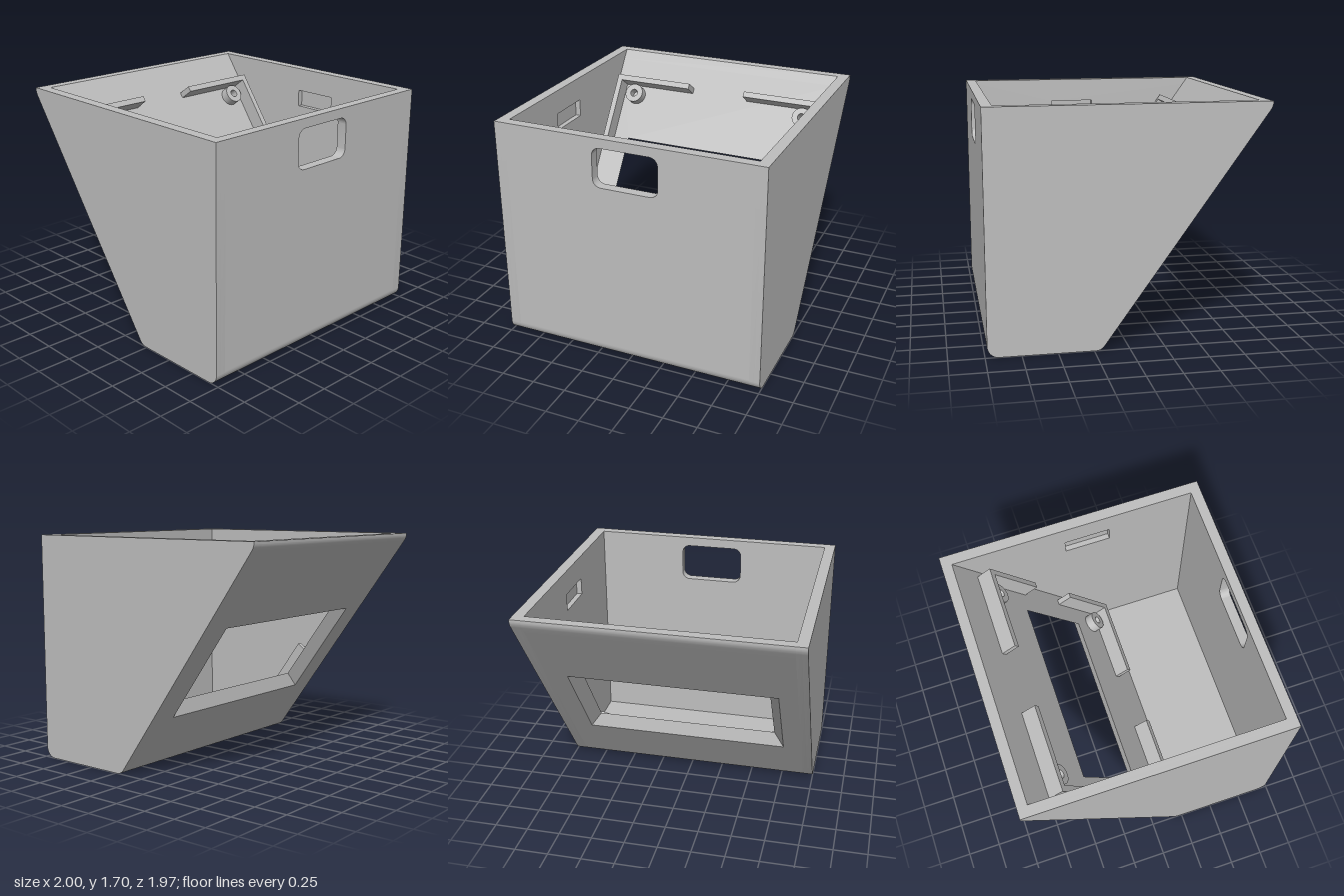
import * as THREE from 'three';
import { toCreasedNormals } from 'three/addons/utils/BufferGeometryUtils.js';

const TILT = Math.atan(1 / 1.405);   // lean of the back panel from vertical
const SIN = Math.sin(TILT), COS = Math.cos(TILT);
const TOP = 1.7, INNER = -0.91;      // inner top edge of the back panel
const T = 0.081, FLOOR = 0.08;       // wall thickness, floor height
const SLOPE = (TOP - FLOOR) / COS;   // length of the inner slope
const LIP = 0.08;

// Point [z, y] at distance s down the slope and height h off its inner face
const P = (s, h) => [INNER + SIN * s + COS * h, TOP - COS * s + SIN * h];

function rect(x0, y0, x1, y1, r = 0) {
  const p = new THREE.Path();
  p.moveTo(x0 + r, y0);
  p.lineTo(x1 - r, y0);
  if (r) p.absarc(x1 - r, y0 + r, r, -Math.PI / 2, 0);
  p.lineTo(x1, y1 - r);
  if (r) p.absarc(x1 - r, y1 - r, r, 0, Math.PI / 2);
  p.lineTo(x0 + r, y1);
  if (r) p.absarc(x0 + r, y1 - r, r, Math.PI / 2, Math.PI);
  p.lineTo(x0, y0 + r);
  if (r) p.absarc(x0 + r, y0 + r, r, Math.PI, Math.PI * 1.5);
  return p;
}

// Extrude a (z, y) profile along x from x0 to x1
function extrudeX(shape, x0, x1) {
  const g = new THREE.ExtrudeGeometry(shape, { depth: x1 - x0, bevelEnabled: false, curveSegments: 10 });
  g.rotateY(-Math.PI / 2).translate(x1, 0, 0);
  return toCreasedNormals(g, 0.5);
}

// Rounded bottom outline, from the front wall to the foot of the slope
function bottomEdge(shape) {
  shape.lineTo(0.985, FLOOR);
  shape.absarc(0.905, 0.08, 0.08, 0, -Math.PI / 2, true);
  shape.lineTo(0.241, 0);
  shape.quadraticCurveTo(0.2, 0, ...P(SLOPE, -T));
}

// Rounded outline of the upper back rim
function rimEdge(shape) {
  shape.lineTo(...P(0.02, -T));
  shape.quadraticCurveTo(-0.985, 1.667, -0.985, 1.688);
  shape.lineTo(-0.985, TOP);
}

function sideShape() {
  const s = new THREE.Shape();
  s.moveTo(0.985, TOP);
  bottomEdge(s);
  rimEdge(s);
  return s;
}

// Back panel: four rectangular loops joined into a frame with a chamfered opening
function backFrame() {
  const loop = (x0, x1, s0, s1, h) => [[x0, -s1, h], [x1, -s1, h], [x1, -s0, h], [x0, -s0, h]];
  const c = 0.078;
  const loops = [
    loop(-0.92, 0.92, LIP, SLOPE, 0),
    loop(-0.705, 0.685, 0.757, 1.437, 0),
    loop(-0.705 - c, 0.685 + c, 0.757 - c, 1.437 + c, -T),
    loop(-0.92, 0.92, LIP, SLOPE, -T),
  ];
  const pos = [];
  loops.forEach((a, k) => {
    const b = loops[(k + 1) % 4];
    for (let i = 0; i < 4; i++) {
      const j = (i + 1) % 4;
      pos.push(...a[i], ...a[j], ...b[j], ...a[i], ...b[j], ...b[i]);
    }
  });
  const g = new THREE.BufferGeometry();
  g.setAttribute('position', new THREE.Float32BufferAttribute(pos, 3));
  g.computeVertexNormals();
  return g;
}

export function createModel() {
  const model = new THREE.Group();
  model.name = 'enclosure';
  const grey = new THREE.MeshStandardMaterial({ color: 0xbebebe });
  grey.name = 'grey plastic';
  const add = (parent, name, geometry) => {
    const m = new THREE.Mesh(geometry, grey);
    m.name = name;
    parent.add(m);
    return m;
  };

  // Side walls: a solid outer skin and an inner skin with a latch recess
  for (const side of [-1, 1]) {
    const name = side > 0 ? 'left' : 'right';
    const inner = sideShape();
    inner.holes.push(rect(-0.07, 1.39, 0.275, 1.52));
    const span = (a, b) => (side > 0 ? [a, b] : [-b, -a]);
    add(model, name + 'WallOuter', extrudeX(sideShape(), ...span(0.96, 1)));
    add(model, name + 'WallInner', extrudeX(inner, ...span(0.92, 0.96)));
  }

  // Front wall with rounded cable window
  const front = new THREE.Shape(rect(-0.92, FLOOR, 0.92, TOP).getPoints());
  front.holes.push(rect(-0.243, 1.34, 0.243, 1.63, 0.06));
  const frontGeo = new THREE.ExtrudeGeometry(front, { depth: 0.075, bevelEnabled: false, curveSegments: 8 });
  add(model, 'frontWall', toCreasedNormals(frontGeo.translate(0, 0, 0.91), 0.5));

  // Floor with rounded edges
  const floor = new THREE.Shape();
  floor.moveTo(...P(SLOPE, 0));
  bottomEdge(floor);
  add(model, 'floor', extrudeX(floor, -0.92, 0.92));

  // Upper back rim
  const rim = new THREE.Shape();
  rim.moveTo(...P(LIP, 0));
  rim.lineTo(...P(LIP, -T));
  rimEdge(rim);
  rim.lineTo(...P(0, 0));
  add(model, 'backRim', extrudeX(rim, -0.92, 0.92));

  // Sloping back panel and its fittings, in the slope's own frame
  const back = new THREE.Group();
  back.name = 'backPanel';
  back.position.set(0, TOP, INNER);
  back.rotation.x = -TILT;
  model.add(back);
  add(back, 'displayFrame', backFrame());

  const rib = (name, side, x0, x1, s0, s1) => {
    const m = add(back, name, new THREE.BoxGeometry(x1 - x0, s1 - s0, 0.123));
    m.position.set(side * (x0 + x1) / 2, -(s0 + s1) / 2, 0.0615);
  };
  const bossGeo = toCreasedNormals(new THREE.LatheGeometry(
    [[0.075, 0], [0.075, 0.07], [0.03, 0.07], [0.03, 0]].map(p => new THREE.Vector2(...p)), 32), 0.5);
  bossGeo.rotateX(Math.PI / 2);

  for (const side of [-1, 1]) {
    // Corner ribs that locate the display board
    rib('upperRib', side, 0.235, 0.875, 0.258, 0.302);
    rib('upperSideRib', side, 0.833, 0.875, 0.302, 0.8);
    rib('lowerSideRib', side, 0.833, 0.875, 1.239, 1.738);
    rib('lowerRib', side, 0.235, 0.875, 1.738, 1.785);
    // Screw bosses
    for (const s of [0.384, 1.642]) add(back, 'screwBoss', bossGeo).position.set(side * 0.723, -s, 0);
  }
  return model;
}
